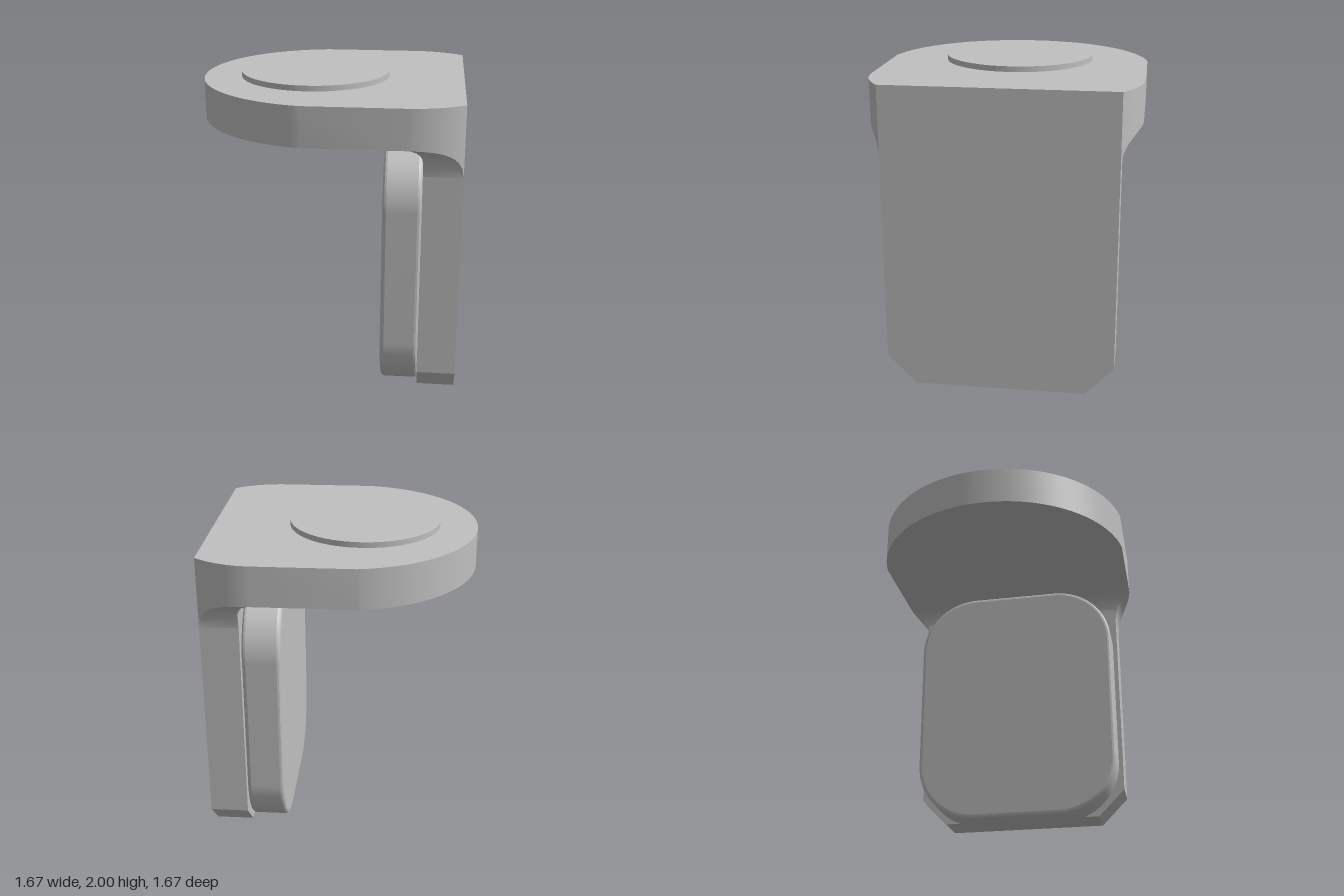
import * as THREE from 'three';
import { toCreasedNormals } from 'three/addons/utils/BufferGeometryUtils.js';

const grey = new THREE.MeshStandardMaterial({ color: 0xc0c0c0 });
grey.name = 'light grey';

const UNDER = 1.715, TOP = 1.965;      // flange heights
const BACK = 0.835, INNER = 0.595;     // upright plate faces in x
const HALF = 0.717, WIDE = 0.835;      // half widths of plate and flange
const BEND = 0.485, BEND_R = INNER - BEND;
const CORNER_X = 0.49, CORNER_R = 0.563, SIDE_R = 0.212;

function extrude(shape, depth, options = {}) {
  return new THREE.ExtrudeGeometry(shape, { depth, bevelEnabled: false, curveSegments: 32, ...options });
}

function part(name, geometry, crease = 0.2) {
  const mesh = new THREE.Mesh(toCreasedNormals(geometry, crease), grey);
  mesh.name = name;
  return mesh;
}

// Half width of the flange along its narrowing corner
function edgeZ(x) {
  const d = Math.max(0, x - CORNER_X);
  return WIDE - CORNER_R + Math.sqrt(CORNER_R ** 2 - d * d);
}

// Underside of the flare between the flange and the plate side
function flareY(x, z) {
  const side = 1.525 + Math.sqrt(Math.max(0, SIDE_R ** 2 - (z - HALF - SIDE_R) ** 2));
  const inner = x <= INNER ? UNDER - BEND_R + Math.sqrt(Math.max(0, BEND_R ** 2 - (x - BEND) ** 2)) : 0;
  return Math.min(UNDER, Math.max(side, inner));
}

// Surface over a grid of columns; side = -1 mirrors it in z
function grid(xs, rows, side, point) {
  const pos = [], index = [];
  xs.forEach((x, i) => {
    for (let j = 0; j <= rows; j++) {
      const [y, z] = point(x, j / rows);
      pos.push(x, y, z * side);
      if (i === 0 || j === 0) continue;
      const d = i * (rows + 1) + j, c = d - 1, b = d - rows - 1, a = b - 1;
      index.push(...(side > 0 ? [a, c, b, b, c, d] : [a, b, c, b, d, c]));
    }
  });
  const g = new THREE.BufferGeometry();
  g.setAttribute('position', new THREE.Float32BufferAttribute(pos, 3));
  g.setIndex(index);
  return g;
}

export function createModel() {
  const model = new THREE.Group();
  model.name = 'angleBracket';

  // Horizontal flange with a round nose and softened rear corners
  const a = Math.atan2(WIDE, -0.13);
  const c = Math.atan2(HALF - WIDE + CORNER_R, BACK - CORNER_X);
  const outline = new THREE.Shape();
  outline.moveTo(BACK, -HALF);
  outline.lineTo(BACK, HALF);
  outline.absarc(CORNER_X, WIDE - CORNER_R, CORNER_R, c, Math.PI / 2, false);
  outline.absarc(0.01, 0, 0.845, a, 2 * Math.PI - a, false);
  outline.absarc(CORNER_X, CORNER_R - WIDE, CORNER_R, -Math.PI / 2, -c, false);
  model.add(part('flange', extrude(outline, TOP - UNDER).rotateX(-Math.PI / 2).translate(0, UNDER, 0)));

  // Low round boss on top
  model.add(part('topDisc', new THREE.CylinderGeometry(0.477, 0.477, 0.035, 96).translate(-0.122, 1.9825, 0)));

  // Upright plate with chamfered lower corners
  const plate = new THREE.Shape([
    [-0.537, 0.035], [0.537, 0.035], [HALF, 0.218], [HALF, UNDER], [-HALF, UNDER], [-HALF, 0.218],
  ].map(([x, y]) => new THREE.Vector2(x, y)));
  model.add(part('uprightPlate', extrude(plate, BACK - INNER).rotateY(Math.PI / 2).translate(INNER, 0, 0)));

  // Rounded inside bend
  const bend = new THREE.Shape();
  bend.moveTo(INNER, UNDER);
  bend.lineTo(BEND, UNDER);
  bend.absarc(BEND, UNDER - BEND_R, BEND_R, Math.PI / 2, 0, true);
  model.add(part('insideBend', extrude(bend, 2 * HALF).translate(0, 0, -HALF)));

  // Flares blending the flange into both sides of the plate
  const xs = [];
  for (let i = 0; i <= 12; i++) xs.push(BEND + BEND_R * i / 12);
  for (let i = 0; i <= 20; i++) xs.push(INNER + 0.0005 + (BACK - INNER - 0.0005) * i / 20);
  for (const side of [1, -1]) {
    const flare = new THREE.Group();
    flare.name = side > 0 ? 'frontFlare' : 'rearFlare';
    flare.add(part('flareUnderside', grid(xs, 16, side, (x, t) => {
      const z = HALF + (edgeZ(x) - HALF) * t;
      return [flareY(x, z), z];
    }), 0.5));
    flare.add(part('flareEdge', grid(xs, 1, side, (x, t) => {
      const z = edgeZ(x), y = flareY(x, z);
      return [y + (UNDER - y) * t, z];
    })));
    model.add(flare);
  }

  // Thick pad with large corner radii and softened rims
  const bevel = 0.025, w = 0.69 - bevel, r = 0.4 - bevel, y0 = 0.005 + bevel, y1 = 1.68 - bevel;
  const pad = new THREE.Shape();
  pad.absarc(w - r, y0 + r, r, -Math.PI / 2, 0, false);
  pad.absarc(w - r, y1 - r, r, 0, Math.PI / 2, false);
  pad.absarc(r - w, y1 - r, r, Math.PI / 2, Math.PI, false);
  pad.absarc(r - w, y0 + r, r, Math.PI, 1.5 * Math.PI, false);
  const padGeometry = extrude(pad, 0.24 - 2 * bevel, {
    bevelEnabled: true, bevelSize: bevel, bevelThickness: bevel, bevelSegments: 3, curveSegments: 24,
  });
  model.add(part('pad', padGeometry.rotateY(Math.PI / 2).translate(0.355 + bevel, -0.005, 0)));

  return model;
}
